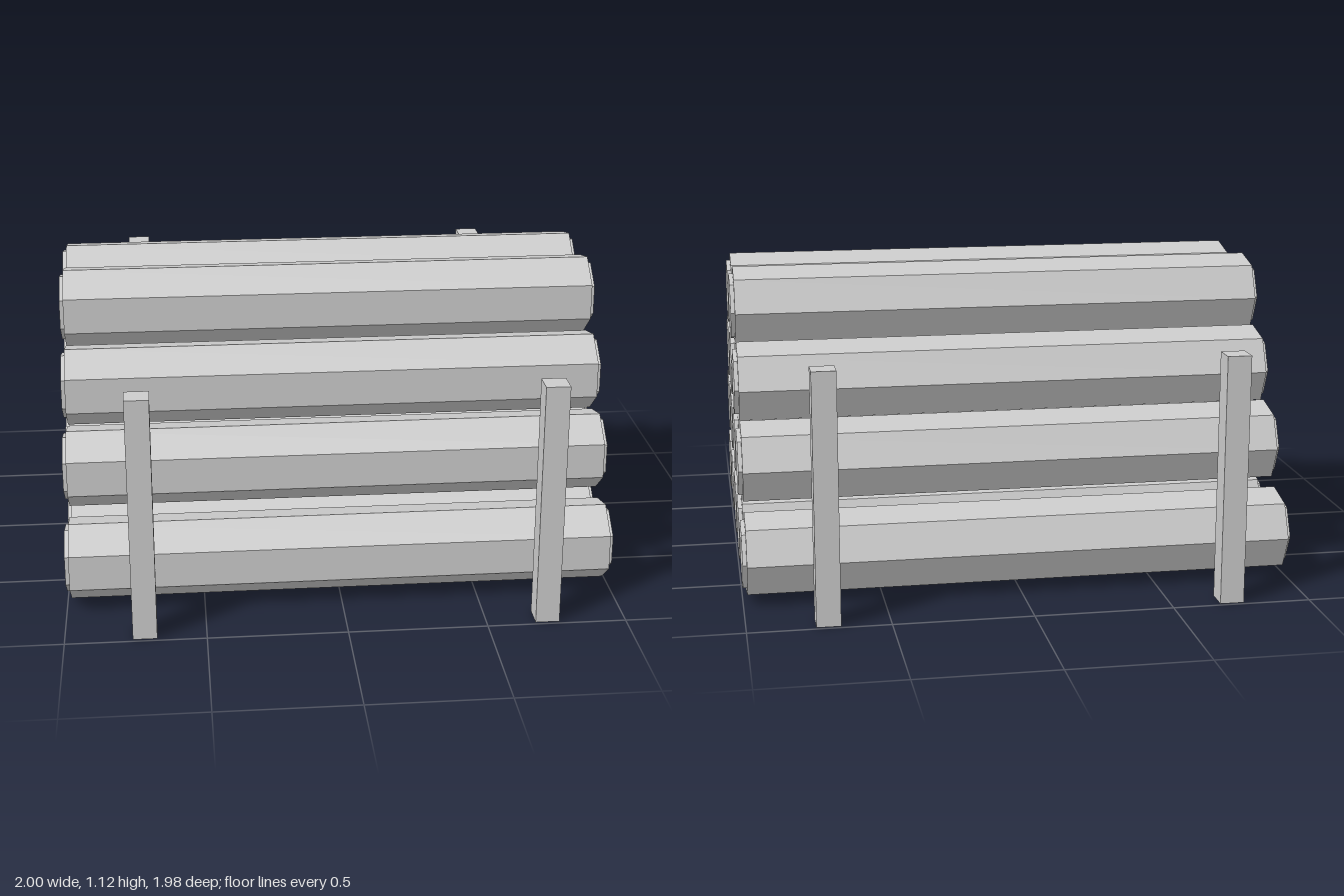
import * as THREE from 'three';

export function createModel() {
  const group = new THREE.Group();
  group.name = 'logStack';
  const material = new THREE.MeshStandardMaterial({ color: 0xcccccc, flatShading: true });

  // Seven-sided prism lying along x, with one corner pointing to the back
  const prism = (radius, length) =>
    new THREE.CylinderGeometry(radius, radius, length, 7, 1, false, Math.PI).rotateZ(Math.PI / 2);

  const barkGeometry = prism(0.1515, 1.97);
  const endGeometry = prism(0.125, 0.03);
  const postGeometry = new THREE.BoxGeometry(0.086, 0.9, 0.087);

  function add(parent, name, geometry, x, y, z) {
    const mesh = new THREE.Mesh(geometry, material);
    mesh.name = name;
    mesh.position.set(x, y, z);
    parent.add(mesh);
  }

  // Log: bark body with a smaller cut face standing out at each end
  function addLog(y, z) {
    const log = new THREE.Group();
    log.name = 'log';
    log.position.set(0, y, z);
    add(log, 'bark', barkGeometry, 0, 0, 0);
    for (const side of [-1, 1]) add(log, 'cutEnd', endGeometry, side * 0.985, 0, 0);
    group.add(log);
  }

  // Rows of five, four, three and two logs
  const spacing = 0.324;
  [0.164, 0.46, 0.718, 0.971].forEach((y, row) => {
    const count = 5 - row;
    for (let i = 0; i < count; i++) addLog(y, (i - (count - 1) / 2) * spacing);
  });

  // Four upright posts in front of and behind the stack
  for (const x of [-0.718, 0.718])
    for (const z of [-0.944, 0.944]) add(group, 'post', postGeometry, x, 0.45, z);

  return group;
}
